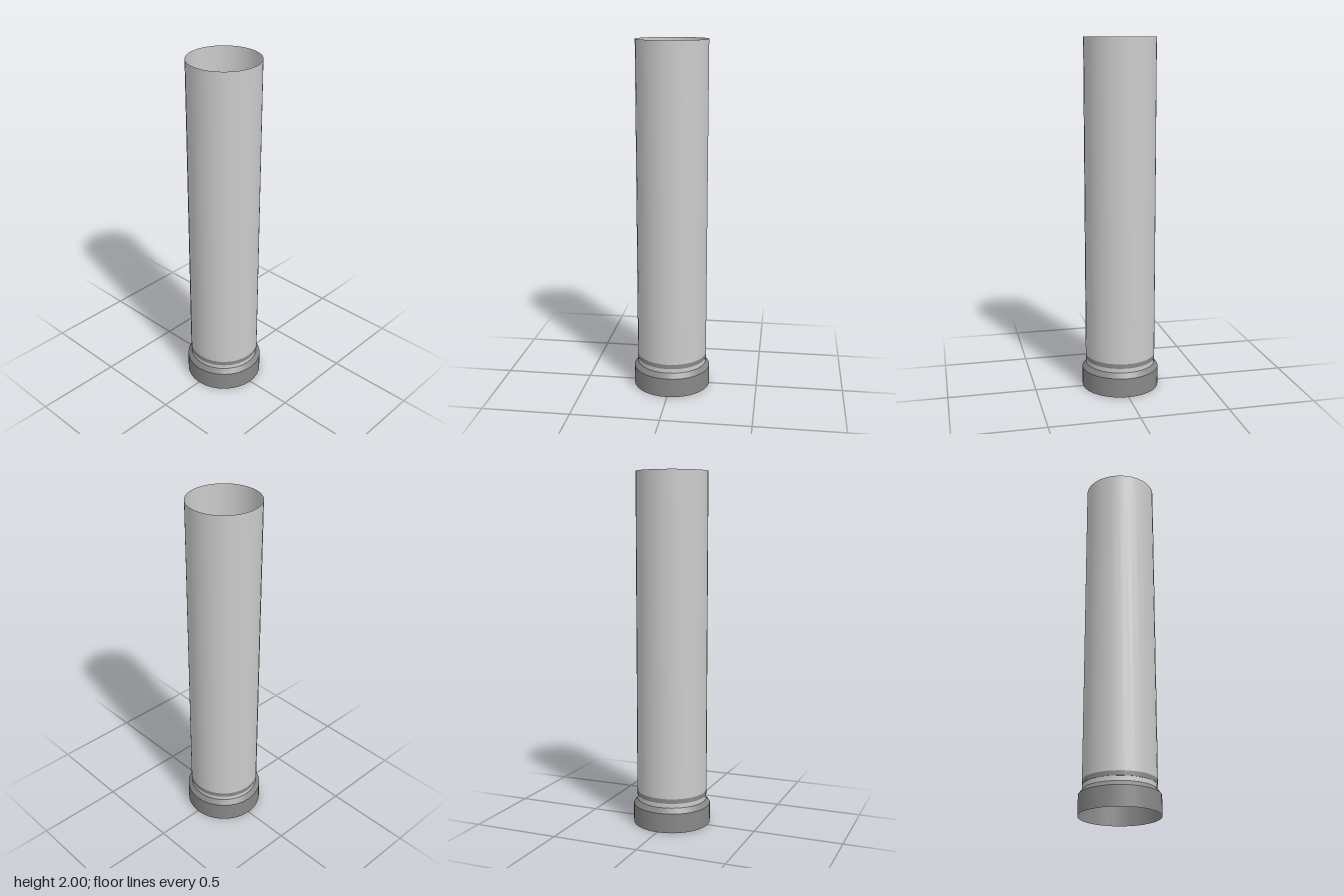
import * as THREE from 'three';

const SIDES = 32;
const light = new THREE.MeshStandardMaterial({ color: 0xcccccc, side: THREE.DoubleSide });
const dark = new THREE.MeshStandardMaterial({ color: 0x888888, side: THREE.DoubleSide });

// Thin open wall of revolution between two [radius, height] rings
function wall(name, material, lower, upper) {
  const points = [lower, upper].map(([r, y]) => new THREE.Vector2(r, y));
  const mesh = new THREE.Mesh(new THREE.LatheGeometry(points, SIDES), material);
  mesh.name = name;
  return mesh;
}

export function createModel() {
  const model = new THREE.Group();
  model.name = 'socketPipe';

  // Long open tube and the dark band at its lower end
  model.add(wall('pipe', light, [0.201, 0.19], [0.201, 2]));
  model.add(wall('band', dark, [0.201, 0.164], [0.201, 0.19]));

  // Shallow sealing groove under the band
  model.add(wall('grooveLip', dark, [0.199, 0.164], [0.201, 0.164]));
  model.add(wall('sealingRing', light, [0.199, 0.138], [0.199, 0.164]));

  // Flared socket, open at the bottom
  model.add(wall('socketShoulder', dark, [0.221, 0.111], [0.199, 0.138]));
  model.add(wall('socket', dark, [0.221, 0], [0.221, 0.111]));

  return model;
}
